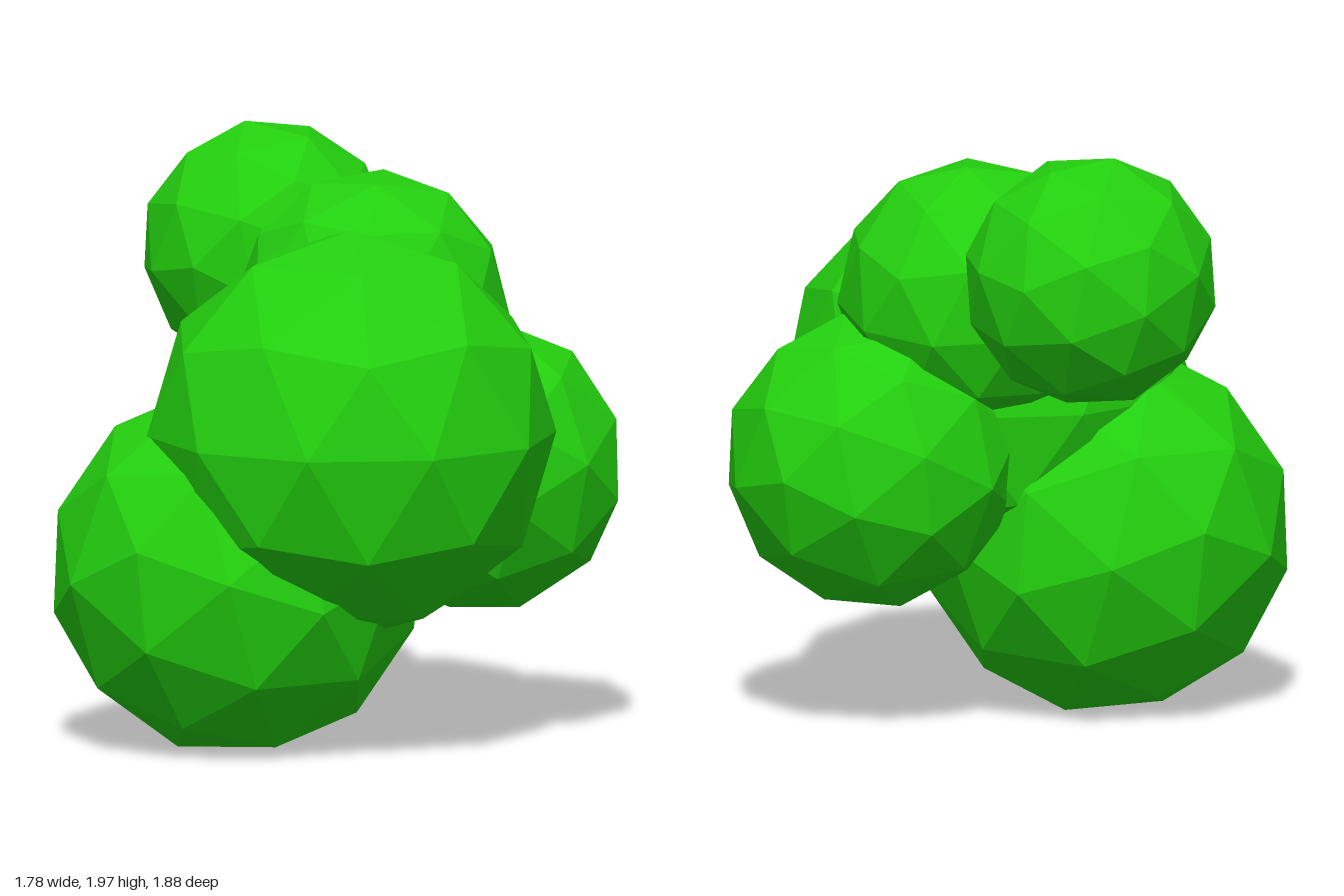
import * as THREE from 'three';

// Orthonormal frame from an "up" direction and a rough sideways direction.
function frame(up, side) {
  const y = new THREE.Vector3(...up).normalize();
  const x = new THREE.Vector3(...side);
  x.addScaledVector(y, -x.dot(y)).normalize();
  return new THREE.Matrix4().makeBasis(x, y, x.clone().cross(y));
}

// Faceted 80-sided ball with one corner on +y and its first ring starting at +x.
function facetedBall() {
  const t = (1 + Math.sqrt(5)) / 2;
  const geometry = new THREE.IcosahedronGeometry(1, 1);
  geometry.applyMatrix4(frame([0, 1, t], [0, -1, t]).transpose());
  geometry.computeVertexNormals(); // unshared corners give flat facets
  return geometry;
}

export function createModel() {
  const group = new THREE.Group();
  group.name = 'foliage';
  const leafGreen = new THREE.MeshStandardMaterial({ color: 0x23cf0e });
  leafGreen.name = 'leaf green';
  const ball = facetedBall();

  // Overlapping leaf clumps: centre, radius, and the way each ball is turned
  const clumps = [
    { name: 'mainClump', at: [0.1, 1.08, 0.27], r: 0.68, up: [0, 1, 0], side: [1, 0, 0] },
    { name: 'lowerRightClump', at: [-0.3, 0.61, 0.23], r: 0.62, up: [-0.954, -0.236, 0.187], side: [-0.24, 0.969, -0.006] },
    { name: 'lowerLeftClump', at: [0.405, 0.91, -0.255], r: 0.495, up: [0.98, -0.2, 0.03], side: [0.047, 0.082, -0.995] },
    { name: 'upperClump', at: [0.085, 1.45, -0.125], r: 0.455, up: [0.03, 0.975, -0.22], side: [0.14, 0.21, 0.966] },
    { name: 'topBackClump', at: [-0.36, 1.58, -0.53], r: 0.422, up: [-0.98, -0.19, 0.05], side: [0.045, 0.03, 0.996] },
  ];

  for (const { name, at, r, up, side } of clumps) {
    const mesh = new THREE.Mesh(ball, leafGreen);
    mesh.name = name;
    mesh.position.set(...at);
    mesh.quaternion.setFromRotationMatrix(frame(up, side));
    mesh.scale.setScalar(r);
    group.add(mesh);
  }
  return group;
}
